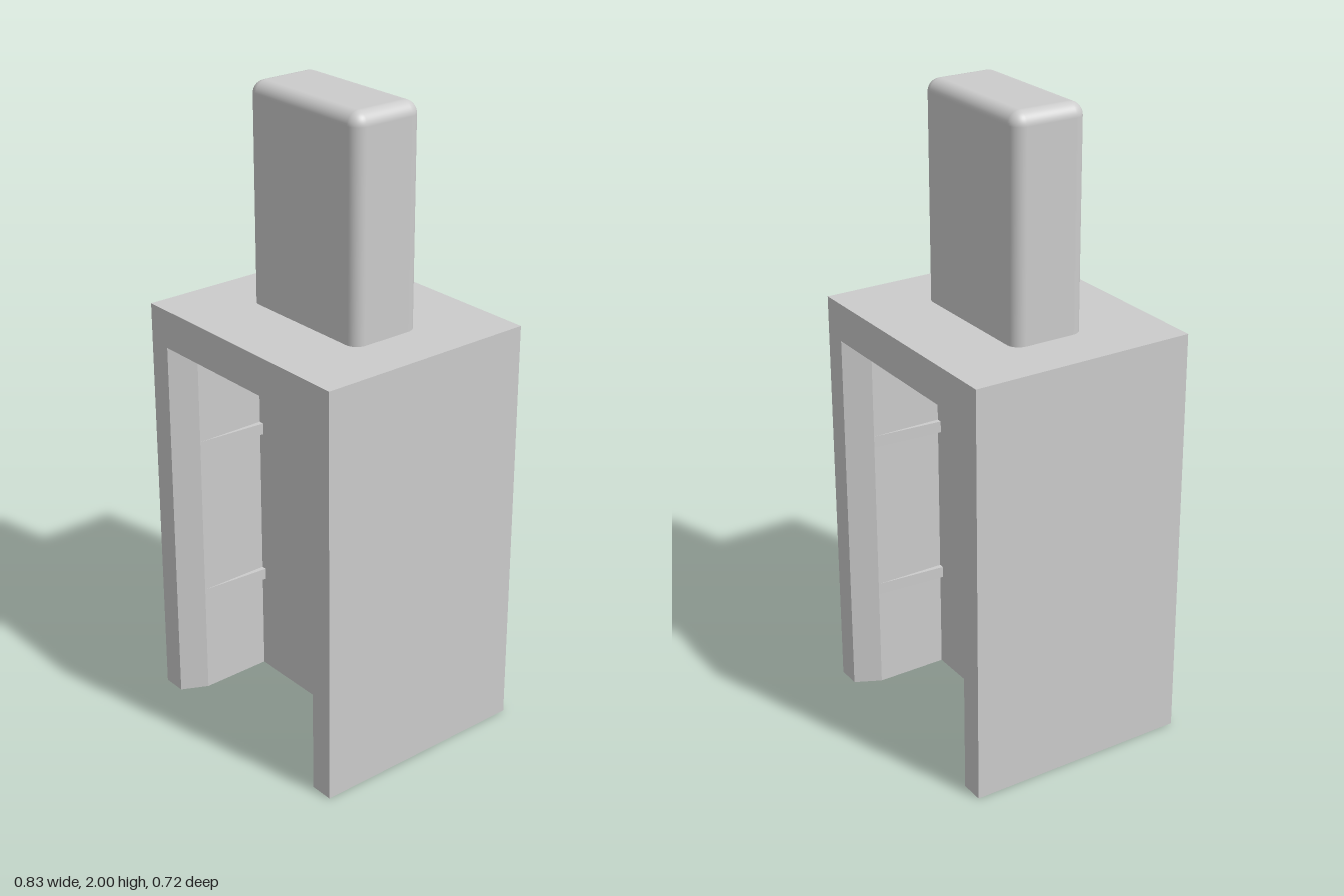
import * as THREE from 'three';
import { RoundedBoxGeometry } from 'three/addons/geometries/RoundedBoxGeometry.js';

const HALF_W = 0.415, HALF_D = 0.36;   // outer footprint
const ROOF_Y = 1.205, TOP_Y = 1.325;   // underside and top of the roof

// Extrude a plan outline of [x, z] points upward from y by height
function extrudePlan(points, y, height) {
  const shape = new THREE.Shape(points.map(([x, z]) => new THREE.Vector2(x, -z)));
  const geometry = new THREE.ExtrudeGeometry(shape, { depth: height, bevelEnabled: false });
  geometry.rotateX(-Math.PI / 2);
  geometry.translate(0, y, 0);
  return geometry;
}

export function createModel() {
  const group = new THREE.Group();
  const material = new THREE.MeshStandardMaterial({ color: 0xcccccc });
  material.name = 'light grey';

  const add = (name, geometry) => {
    const mesh = new THREE.Mesh(geometry, material);
    mesh.name = name;
    group.add(mesh);
    return mesh;
  };

  // H-shaped body: two side walls with flared mouths, joined by a central web
  const quarter = [[HALF_W, HALF_D], [0.34, HALF_D], [0.30, 0.28], [0.30, 0.05]];
  const flip = (sx, sz) => quarter.map(([x, z]) => [x * sx, z * sz]);
  const outline = [
    ...flip(1, 1), ...flip(-1, 1).reverse(),
    ...flip(-1, -1), ...flip(1, -1).reverse(),
  ];
  add('body', extrudePlan(outline, 0, ROOF_Y));

  // Solid roof closing both bays
  const roof = new THREE.BoxGeometry(HALF_W * 2, TOP_Y - ROOF_Y, HALF_D * 2);
  add('roof', roof).position.y = (ROOF_Y + TOP_Y) / 2;

  // Wedge ribs on the inner side walls, growing toward the web
  for (const sx of [1, -1]) {
    for (const sz of [1, -1]) {
      for (const y of [0.325, 0.846]) {
        const wedge = [[0.30, 0.28], [0.283, 0.05], [0.30, 0.05]];
        add('gripRib', extrudePlan(wedge.map(([x, z]) => [x * sx, z * sz]), y, 0.037));
      }
    }
  }

  // Rounded handle block, its lower rounding sunk into the roof
  const handleBase = 1.26;
  const handle = new RoundedBoxGeometry(0.48, 2 - handleBase, 0.24, 6, 0.04);
  add('handle', handle).position.y = (2 + handleBase) / 2;

  return group;
}
